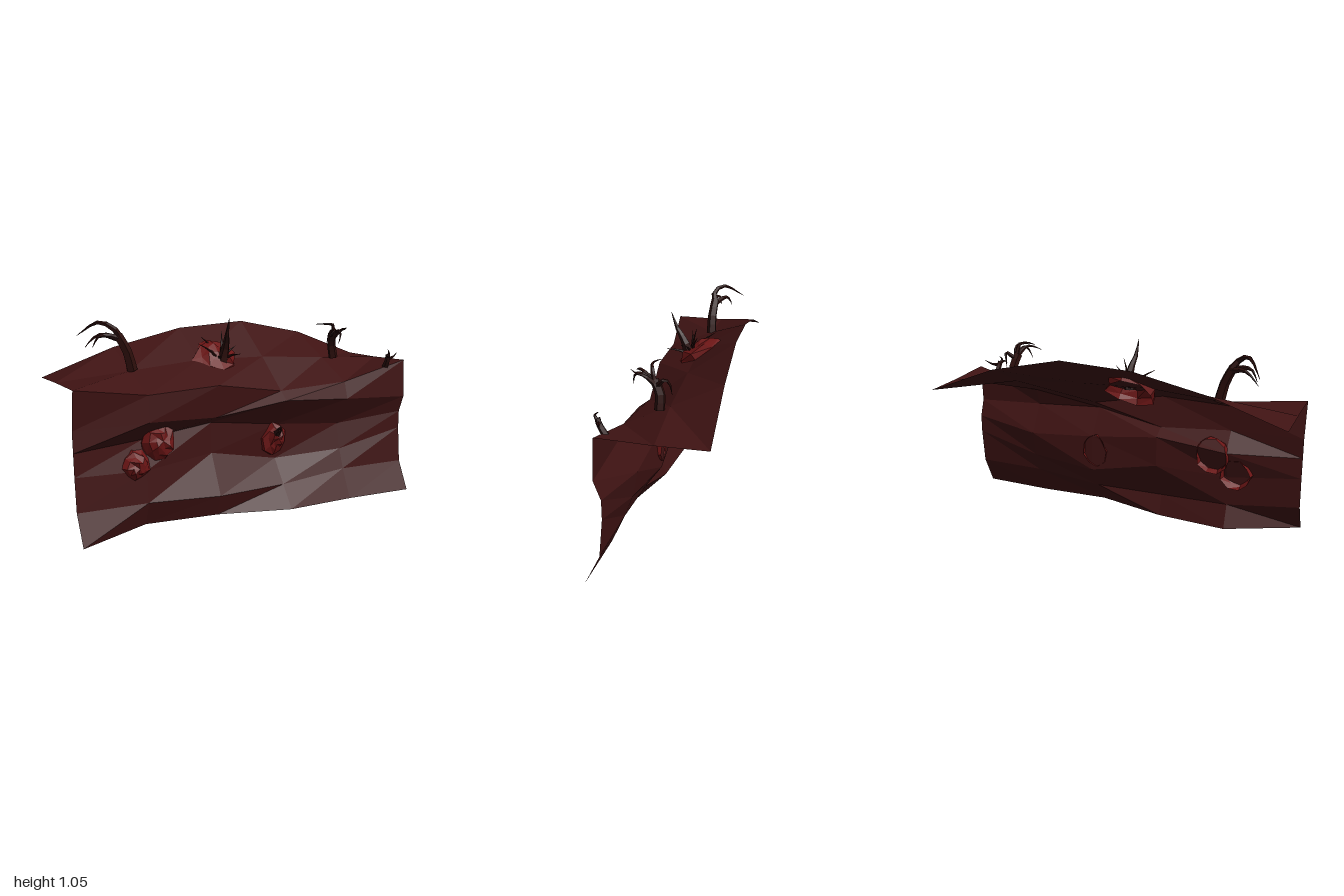
import * as THREE from 'three';

const material = (color) =>
  new THREE.MeshStandardMaterial({ color, flatShading: true, side: THREE.DoubleSide });
const rockMat = material(0x3f1313);
const growthMat = material(0x6b1515);
const clawMat = material(0x2c0e0b);

// Rows of the ground sheet from the foot up and over to the back: [heights], [depths]
const COLUMNS = [-1, -0.6, -0.2, 0.2, 0.6, 1];
const ROWS = [
  [[0, 0, 0, 0, 0, 0], [0.3, 0.115, 0.16, 0.28, 0.275, 0.3]],
  [[0.155, 0.13, 0.115, 0.12, 0.16, 0.16], [0.215, 0.165, 0.2, 0.19, 0.2, 0.22]],
  [[0.33, 0.3, 0.33, 0.25, 0.27, 0.36], [0.2, 0.15, 0.095, 0.095, 0.16, 0.2]],
  [[0.45, 0.455, 0.5, 0.45, 0.415, 0.46], [0.195, 0.1, 0.095, 0.11, 0.13, 0.2]],
  [[0.56, 0.56, 0.54, 0.6, 0.575, 0.555], [0.19, 0.195, 0.165, 0.215, 0.225, 0.235]],
  [[0.765, 0.7, 0.715, 0.645, 0.67, 0.77], [0.225, 0.19, 0.19, 0.155, 0.195, 0.225]],
  [[0.76, 0.79, 0.82, 0.81, 0.78, 0.755], [-0.05, -0.05, -0.05, -0.05, -0.04, -0.05]],
  [[0.75, 0.885, 0.97, 0.99, 0.905, 0.75], [-0.3, -0.3, -0.3, -0.3, -0.3, -0.3]],
];

function cliff() {
  const pos = [], index = [], n = COLUMNS.length;
  ROWS.forEach(([ys, zs]) => COLUMNS.forEach((x, c) => pos.push(x, ys[c], zs[c])));
  for (let r = 0; r < ROWS.length - 1; r++) {
    for (let c = 0; c < n - 1; c++) {
      const a = r * n + c, b = a + 1, d = a + n, e = d + 1;
      index.push(a, b, e, a, e, d);
    }
  }
  const g = new THREE.BufferGeometry();
  g.setAttribute('position', new THREE.Float32BufferAttribute(pos, 3));
  g.setIndex(index);
  g.computeVertexNormals();
  const mesh = new THREE.Mesh(g, rockMat);
  mesh.name = 'cliffSheet';
  return mesh;
}

// Lumpy open dome, its crown pointing along +y before it is tilted forward
function growth(name, center, size, tilt, sides = 9) {
  const g = new THREE.SphereGeometry(1, sides, 4, 0, Math.PI * 2, 0, Math.PI / 2);
  const p = g.attributes.position, v = new THREE.Vector3();
  for (let i = 0; i < p.count; i++) {
    v.fromBufferAttribute(p, i);
    const lump = 0.95 + 0.15 * Math.sin(7 * v.x + 3 * center[0]) * Math.cos(8 * v.z + 5 * v.y)
      + 0.08 * Math.sin(13 * v.z - 9 * v.x);
    v.multiplyScalar(lump);
    p.setXYZ(i, v.x, v.y, v.z);
  }
  g.computeVertexNormals();
  const mesh = new THREE.Mesh(g, growthMat);
  mesh.name = name;
  mesh.position.set(...center);
  mesh.scale.set(...size);
  mesh.rotation.x = tilt;
  return mesh;
}

// Five-sided limb along a path, tapering from radius r0 to r1
function limb(name, path, r0, r1 = 0.001) {
  const curve = new THREE.CatmullRomCurve3(path.map(p => new THREE.Vector3(...p)));
  const segs = (path.length - 1) * 2, sides = 5;
  const g = new THREE.TubeGeometry(curve, segs, 1, sides);
  const p = g.attributes.position, v = new THREE.Vector3();
  for (let i = 0; i <= segs; i++) {
    const mid = curve.getPointAt(i / segs), r = r0 + (r1 - r0) * i / segs;
    for (let j = 0; j <= sides; j++) {
      const k = i * (sides + 1) + j;
      v.fromBufferAttribute(p, k).sub(mid).multiplyScalar(r).add(mid);
      p.setXYZ(k, v.x, v.y, v.z);
    }
  }
  g.computeVertexNormals();
  const mesh = new THREE.Mesh(g, clawMat);
  mesh.name = name;
  return mesh;
}

// An arm with a set of pointed fingers
function claw(name, arm, armRadii, fingers, fingerRadius) {
  const group = new THREE.Group();
  group.name = name;
  group.add(limb('arm', arm, ...armRadii));
  fingers.forEach(path => group.add(limb('finger', path, fingerRadius)));
  return group;
}

export function createModel() {
  const model = new THREE.Group();
  model.name = 'fleshyCliff';
  model.add(cliff());

  // Red growths on the wall and a wide one cutting through the ledge
  model.add(
    growth('upperWallGrowth', [-0.52, 0.435, 0.085], [0.1, 0.11, 0.115], 1.4, 10),
    growth('lowerWallGrowth', [-0.66, 0.33, 0.115], [0.085, 0.1, 0.085], 1.57),
    growth('rightWallGrowth', [0.18, 0.375, 0.085], [0.08, 0.09, 0.1], 1.5),
    growth('ledgeGrowth', [-0.1, 0.79, -0.08], [0.145, 0.1, 0.16], 0.7, 8),
  );

  // Tall hooked claw on the right side of the ledge
  model.add(claw('tallClaw',
    [[-0.59, 0.79, -0.05], [-0.615, 0.89, -0.05], [-0.66, 0.98, -0.06]], [0.03, 0.024], [
      [[-0.65, 0.97, -0.06], [-0.69, 1.02, -0.05], [-0.75, 1.045, -0.1], [-0.83, 0.97, -0.21]],
      [[-0.655, 0.96, -0.06], [-0.73, 0.98, -0.11], [-0.77, 0.96, -0.13], [-0.81, 0.915, -0.14]],
      [[-0.65, 0.96, -0.06], [-0.71, 0.98, -0.05], [-0.76, 0.975, -0.07], [-0.79, 0.92, -0.08]],
    ], 0.019));

  // Grasping hand on the left side of the ledge
  model.add(claw('graspingHand',
    [[0.655, 0.78, 0.0], [0.64, 0.86, 0.0], [0.625, 0.92, 0.03]], [0.027, 0.024], [
      [[0.63, 0.92, 0.03], [0.62, 0.975, 0.04], [0.57, 0.985, 0.05], [0.51, 0.985, 0.02]],
      [[0.625, 0.92, 0.04], [0.6, 0.955, 0.09], [0.57, 0.95, 0.12], [0.53, 0.93, 0.14]],
      [[0.63, 0.92, 0.04], [0.62, 0.95, 0.1], [0.61, 0.93, 0.13], [0.59, 0.88, 0.14]],
      [[0.64, 0.91, 0.03], [0.66, 0.95, 0.07], [0.66, 0.96, 0.11], [0.64, 0.97, 0.14]],
      [[0.64, 0.9, 0.01], [0.67, 0.94, -0.03], [0.66, 0.92, -0.05], [0.65, 0.86, -0.06]],
    ], 0.014));

  // Spiky tuft growing from the ledge growth
  const spikes = [
    [-0.22, 0.91, 0.0], [-0.18, 0.9, -0.1], [-0.14, 0.93, -0.14], [0.0, 0.89, 0.0],
    [-0.02, 0.93, -0.06], [-0.06, 0.97, -0.05], [-0.03, 0.86, 0.11], [-0.13, 0.85, 0.05],
  ].map(([x, y, z]) => [
    [-0.08, 0.8, -0.02],
    [-0.044 + x * 0.45, 0.41 + y * 0.5, -0.013 + z * 0.35],
    [x, y, z],
  ]);
  model.add(claw('spikyTuft',
    [[-0.08, 0.79, -0.01], [-0.07, 0.89, 0.015], [-0.085, 0.96, 0.06], [-0.09, 1.05, 0.095]],
    [0.034, 0.001], spikes, 0.013));

  // Small claw at the left end of the ledge
  model.add(claw('endClaw',
    [[0.88, 0.73, 0.2], [0.875, 0.78, 0.23], [0.87, 0.81, 0.24]], [0.018, 0.014], [
      [[0.87, 0.8, 0.24], [0.865, 0.82, 0.255], [0.87, 0.84, 0.235]],
      [[0.875, 0.79, 0.235], [0.91, 0.79, 0.225], [0.96, 0.815, 0.21]],
      [[0.87, 0.8, 0.24], [0.85, 0.81, 0.26], [0.83, 0.8, 0.26]],
    ], 0.011));

  // Claw reaching out of the wall growth
  model.add(claw('wallClaw',
    [[0.18, 0.39, 0.12], [0.165, 0.425, 0.19], [0.15, 0.45, 0.23]], [0.024, 0.014], [
      [[0.15, 0.45, 0.23], [0.135, 0.465, 0.26], [0.12, 0.455, 0.295]],
      [[0.155, 0.44, 0.22], [0.13, 0.445, 0.25], [0.13, 0.42, 0.27]],
    ], 0.012));

  return model;
}
